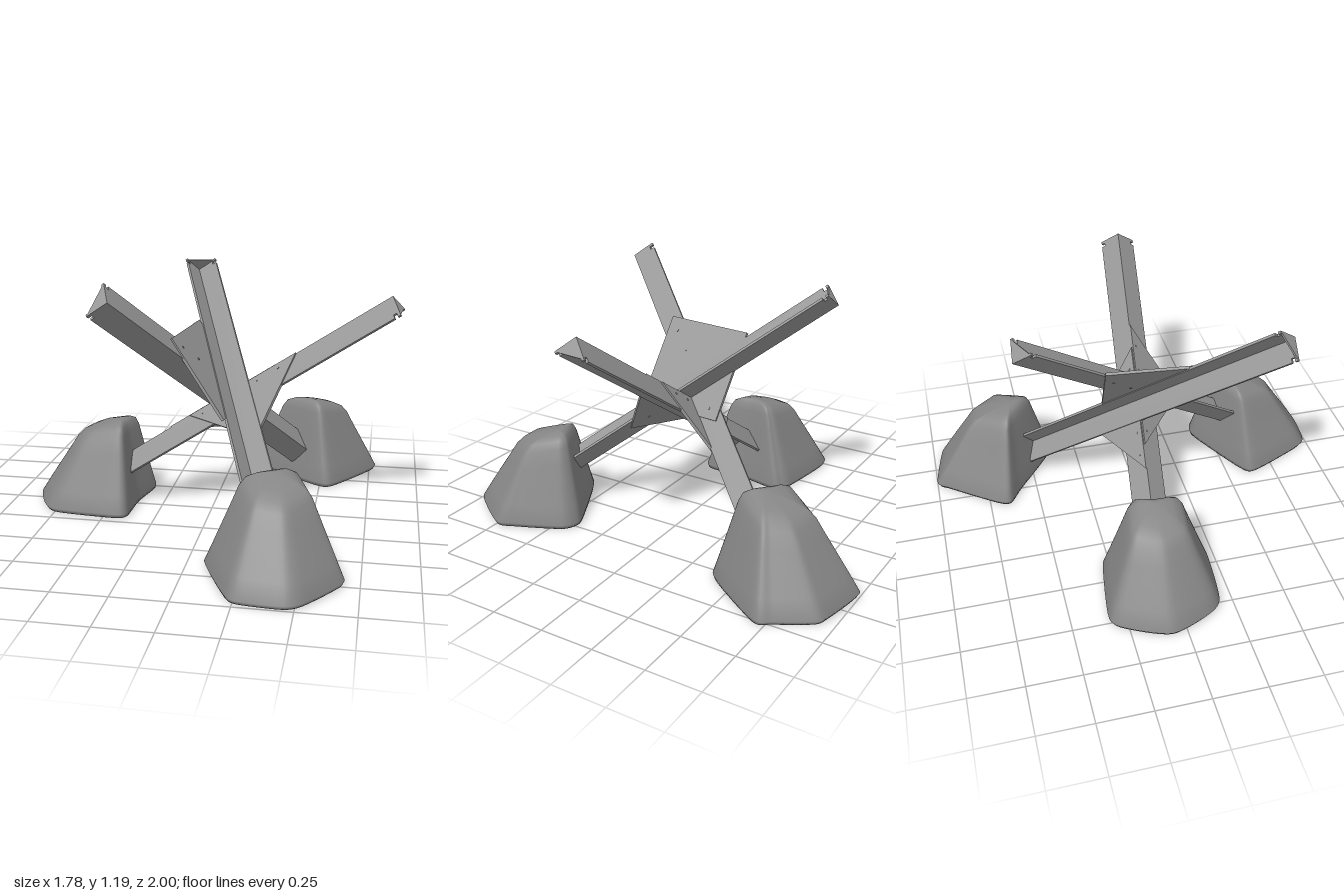
import * as THREE from 'three';

const V = (x, y, z) => new THREE.Vector3(x, y, z);
const steel = new THREE.MeshStandardMaterial({ color: 0x999999, side: THREE.DoubleSide });
const concrete = new THREE.MeshStandardMaterial({ color: 0x878787, side: THREE.DoubleSide });

const WIDTH = 0.115;   // flange width
const THICK = 0.012;   // flange thickness
const LOWER = 0.76;    // beam length below the crossing, ending inside the foot

const toShape = pts => new THREE.Shape(pts.map(p => new THREE.Vector2(p[0], p[1])));

// Extrudes a flat outline lying in the plane (u, v), growing towards "inward"
function slab(name, pts, u, v, inward, depth) {
  const geo = new THREE.ExtrudeGeometry(toShape(pts), { depth, bevelEnabled: false });
  const n = u.clone().cross(v);
  if (n.dot(inward) < 0) geo.translate(0, 0, -depth);
  geo.applyMatrix4(new THREE.Matrix4().makeBasis(u, v, n));
  const mesh = new THREE.Mesh(geo, steel);
  mesh.name = name;
  return mesh;
}

// Angle-section beam: two flanges along f1 and f2, with a triangular end cap
function beam(name, along, f1, f2, upper) {
  const g = new THREE.Group();
  g.name = name;
  const outline = [
    [-LOWER, 0], [upper, 0], [upper, WIDTH], [upper - 0.014, WIDTH], [upper - 0.014, WIDTH - 0.02],
    [upper - 0.03, WIDTH - 0.02], [upper - 0.03, WIDTH], [-LOWER, WIDTH],
  ];
  g.add(slab('flange', outline, along, f1, f2, THICK));
  g.add(slab('flange', outline, along, f2, f1, THICK));
  const cap = slab('endCap', [[0, 0], [WIDTH, 0], [0, WIDTH]], f1, f2, along.clone().negate(), 0.008);
  cap.position.copy(along).multiplyScalar(upper);
  g.add(cap);
  return g;
}

// Gusset plate in the plane (u, v) with small bolts; corners and bolts are (u, v) pairs
function gusset(name, u, v, corners, bolts) {
  const g = new THREE.Group();
  g.name = name;
  const n = u.clone().cross(v);
  const plate = slab('plate', corners, u, v, n, 0.014);
  plate.position.copy(n).multiplyScalar(-0.007);
  g.add(plate);
  const geo = new THREE.CylinderGeometry(0.006, 0.006, 0.019, 8);
  for (const [pu, pv] of bolts) {
    const bolt = new THREE.Mesh(geo, steel);
    bolt.name = 'bolt';
    bolt.quaternion.setFromUnitVectors(V(0, 1, 0), n);
    bolt.position.copy(u).multiplyScalar(pu).addScaledVector(v, pv);
    g.add(bolt);
  }
  return g;
}

// Rounded boulder-like foot: the base outline shrinks towards an off-centre, tilted top
function foot(name, outline, cx, cz, ox, oz) {
  const curve = new THREE.CatmullRomCurve3(outline.map(p => V(p[0], 0, p[1])), true, 'catmullrom', 0.35);
  const N = 66;
  const base = Array.from({ length: N }, (_, i) => curve.getPoint(i / N));
  const rings = [[0, 0], [0, 0.97], [0.02, 1], [0.1, 0.885], [0.2, 0.745], [0.29, 0.62],
    [0.36, 0.525], [0.395, 0.44], [0.413, 0.3], [0.421, 0.14], [0.423, 0]];
  const pos = [], idx = [];
  rings.forEach(([y, s], k) => base.forEach((p, i) => {
    const dx = (p.x - cx) * s, dz = (p.z - cz) * s;
    const tilt = -0.22 * (dx * ox + dz * oz) * (y / 0.42) ** 2;
    pos.push(cx + dx, y + tilt, cz + dz);
    if (k === rings.length - 1) return;
    const a = k * N + i, b = k * N + (i + 1) % N;
    if (s > 0) idx.push(a, b, a + N);
    if (rings[k + 1][1] > 0) idx.push(b, b + N, a + N);
  }));
  const geo = new THREE.BufferGeometry();
  geo.setAttribute('position', new THREE.Float32BufferAttribute(pos, 3));
  geo.setIndex(idx);
  geo.computeVertexNormals();
  const mesh = new THREE.Mesh(geo, concrete);
  mesh.name = name;
  return mesh;
}

export function createModel() {
  const model = new THREE.Group();
  model.name = 'beamObstacle';

  // Tilted frame whose three local axes are the three beam directions
  const a = V(0.825, 0.558, 0.085).normalize();
  const b = V(-0.32, 0.585, -0.745);
  b.addScaledVector(a, -a.dot(b)).normalize();
  const c = a.clone().cross(b);
  const frame = new THREE.Group();
  frame.name = 'frame';
  frame.quaternion.setFromRotationMatrix(new THREE.Matrix4().makeBasis(a, b, c));
  frame.position.set(0.086, 0.598, 0.01);
  model.add(frame);

  const X = V(1, 0, 0), Y = V(0, 1, 0), Z = V(0, 0, 1);
  const neg = v => v.clone().negate();
  frame.add(beam('sideBeam', X, neg(Y), neg(Z), 0.9));
  frame.add(beam('frontBeam', Y, Z, X, 0.825));
  frame.add(beam('backBeam', Z, Y, neg(X), 0.9));

  // Gusset plates: a square one above, and a triangular one on each flange of the side beam
  frame.add(gusset('upperGusset', Y, Z,
    [[0.385, 0.135], [0.075, 0.445], [-0.235, 0.135], [0.075, -0.175]],
    [[0.07, 0.24], [0.07, 0.36], [0.16, 0.09], [0.28, 0.09], [-0.14, 0.09], [0.07, -0.1]]));
  frame.add(gusset('frontGusset', X, Y,
    [[0.385, 0], [-0.235, 0], [0.075, -0.31]],
    [[0.155, -0.025], [0.278, -0.025], [-0.055, -0.03], [-0.055, -0.08], [-0.164, -0.028], [0.075, -0.2]]));
  frame.add(gusset('lowerGusset', X, Z,
    [[0.265, 0], [-0.355, 0], [-0.045, -0.325]],
    [[0.16, -0.03], [0.06, -0.03], [-0.17, -0.03], [-0.28, -0.03], [-0.045, -0.22]]));

  // Feet
  model.add(foot('rightFoot', [[-0.335, -0.22], [-0.36, -0.26], [-0.42, -0.29], [-0.74, -0.33], [-0.82, -0.25],
    [-0.89, -0.07], [-0.82, 0.12], [-0.74, 0.19], [-0.45, 0.215], [-0.385, 0.18], [-0.375, -0.02]], -0.47, -0.05, -1, 0));
  model.add(foot('frontFoot', [[0.68, 0.75], [0.66, 0.66], [0.56, 0.44], [0.48, 0.4], [0.38, 0.44], [0.12, 0.58],
    [0.08, 0.65], [0.2, 0.92], [0.26, 0.985], [0.46, 1], [0.54, 0.95]], 0.38, 0.58, 0.3, 0.95));
  model.add(foot('backFoot', [[0.775, -0.7], [0.75, -0.78], [0.66, -0.93], [0.6, -0.96], [0.38, -1], [0.33, -0.95],
    [0.16, -0.72], [0.14, -0.65], [0.24, -0.58], [0.48, -0.4], [0.57, -0.4]], 0.44, -0.58, 0.4, -0.92));
  return model;
}
